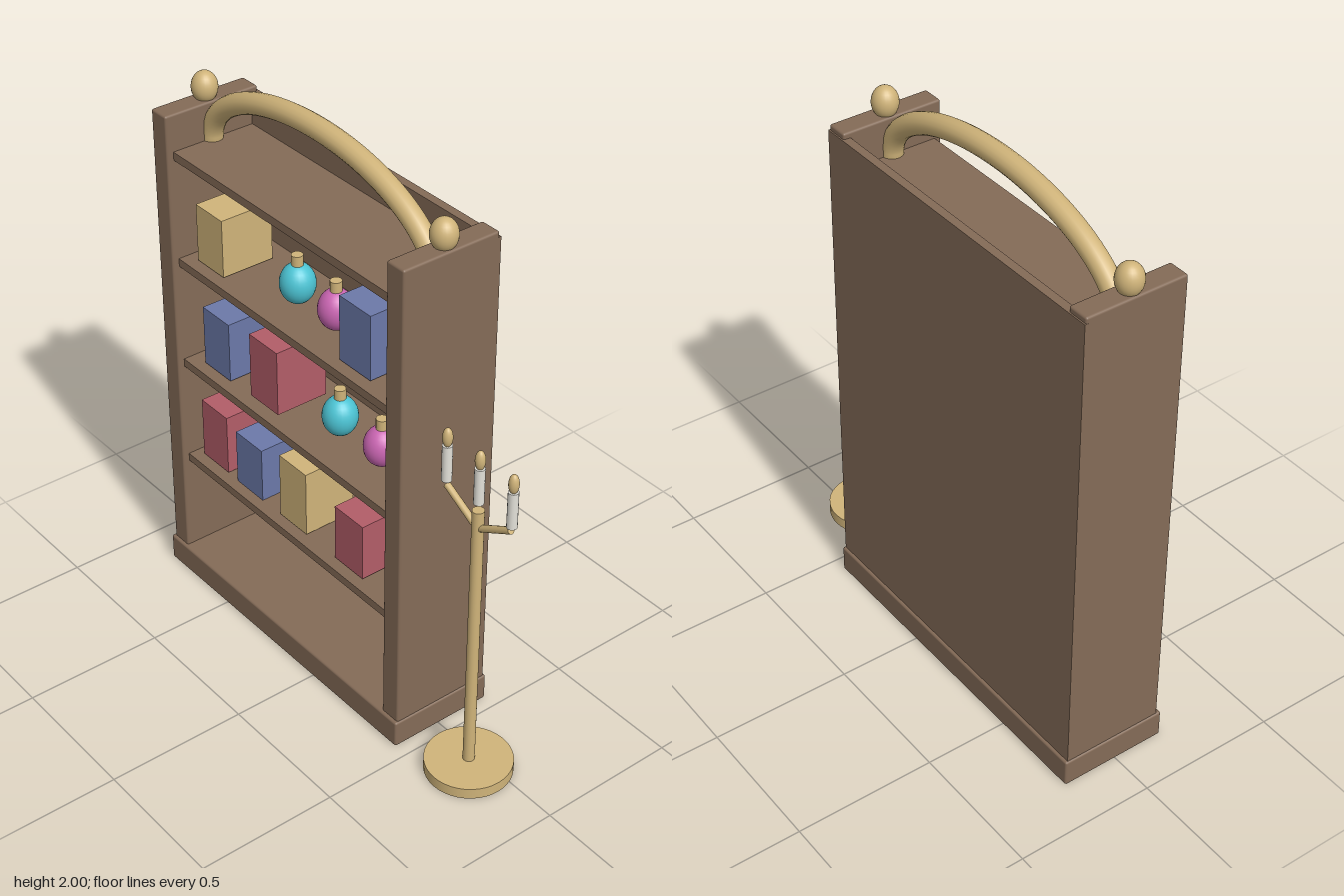
import * as THREE from 'three';
import { RoundedBoxGeometry } from 'three/addons/geometries/RoundedBoxGeometry.js';

const material = (name, color) => {
  const m = new THREE.MeshStandardMaterial({ color });
  m.name = name;
  return m;
};

export function createModel() {
  const wood = material('wood', 0x846b57);
  const gold = material('gold', 0xd0b47a);
  const red = material('red', 0xb25d68);
  const blue = material('blue', 0x6c79a9);
  const cyan = material('cyan glass', 0x4cc4d4);
  const pink = material('pink glass', 0xcb66b3);
  const wax = material('wax', 0xe4e2da);

  const root = new THREE.Group();
  root.name = 'shelfAndCandelabrum';
  const group = (name) => {
    const g = new THREE.Group();
    g.name = name;
    root.add(g);
    return g;
  };
  const add = (parent, name, geometry, mat, x = 0, y = 0, z = 0) => {
    const mesh = new THREE.Mesh(geometry, mat);
    mesh.name = name;
    mesh.position.set(x, y, z);
    parent.add(mesh);
    return mesh;
  };
  // Box given by its limits on each axis, with an optional softened edge
  const block = (parent, name, mat, [x0, x1], [y0, y1], [z0, z1], bevel = 0) => {
    const size = [x1 - x0, y1 - y0, z1 - z0];
    const geometry = bevel
      ? new RoundedBoxGeometry(...size, 2, bevel)
      : new THREE.BoxGeometry(...size);
    return add(parent, name, geometry, mat, (x0 + x1) / 2, (y0 + y1) / 2, (z0 + z1) / 2);
  };
  const egg = (rx, ry) => new THREE.SphereGeometry(1, 24, 16).scale(rx, ry, rx);

  // Cabinet carcass
  const cabinet = group('cabinet');
  block(cabinet, 'plinth', wood, [-0.838, 0.45], [0, 0.1], [-0.205, 0.187], 0.008);
  block(cabinet, 'rightSide', wood, [-0.832, -0.753], [0.09, 1.83], [-0.19, 0.175], 0.008);
  block(cabinet, 'leftSide', wood, [0.365, 0.444], [0.09, 1.83], [-0.19, 0.175], 0.008);
  block(cabinet, 'backPanel', wood, [-0.832, 0.444], [0.1, 1.81], [-0.195, -0.165]);
  for (const top of [0.497, 0.897, 1.297, 1.697]) {
    block(cabinet, 'shelf', wood, [-0.756, 0.368], [top - 0.03, top], [-0.168, 0.15]);
  }

  // Arched crown and post finials
  const crown = group('crown');
  const archPath = new THREE.CatmullRomCurve3(
    Array.from({ length: 25 }, (_, i) => {
      const a = (Math.PI * i) / 24;
      return new THREE.Vector3(0.565 * Math.cos(a), 0.268 * Math.sin(a), 0);
    })
  );
  add(crown, 'arch', new THREE.TubeGeometry(archPath, 64, 0.037, 16), gold, -0.195, 1.695, -0.009);
  for (const x of [-0.793, 0.403]) {
    add(crown, 'finial', egg(0.045, 0.055), gold, x, 1.867, -0.009);
  }

  // Boxes on the shelves: centre x, bottom, height, width, material
  const goods = group('goods');
  const boxes = [
    [-0.626, 1.303, 0.212, 0.143, gold],
    [0.137, 1.303, 0.234, 0.153, blue],
    [-0.61, 0.903, 0.223, 0.146, blue],
    [-0.345, 0.91, 0.242, 0.15, red],
    [-0.643, 0.501, 0.229, 0.146, red],
    [-0.443, 0.498, 0.207, 0.146, blue],
    [-0.196, 0.501, 0.246, 0.145, gold],
    [0.105, 0.501, 0.212, 0.146, red],
  ];
  for (const [x, y, h, w, mat] of boxes) {
    block(goods, 'box', mat, [x - w / 2, x + w / 2], [y, y + h], [-0.09, 0.11]);
  }

  // Round flasks with gold necks
  const flasks = [
    [-0.279, 1.381, cyan],
    [-0.079, 1.381, pink],
    [-0.061, 0.983, cyan],
    [0.153, 0.983, pink],
  ];
  for (const [x, y, mat] of flasks) {
    add(goods, 'flask', egg(0.061, 0.072), mat, x, y, 0.013);
    add(goods, 'flaskNeck', new THREE.CylinderGeometry(0.02, 0.02, 0.05, 16), gold, x, y + 0.08, 0.013);
  }

  // Standing candelabrum
  const stand = group('candelabrum');
  stand.position.set(0.669, 0, 0.058);
  add(stand, 'foot', new THREE.CylinderGeometry(0.148, 0.148, 0.04, 40), gold, 0, 0.02, 0);
  add(stand, 'pole', new THREE.CylinderGeometry(0.02, 0.02, 1.02, 20), gold, 0, 0.545, 0);
  for (const side of [-1, 1]) {
    const arm = add(stand, 'arm', new THREE.CylinderGeometry(0.012, 0.012, 0.166, 12), gold,
      side * 0.074, 1.027, 0);
    arm.rotation.z = -side * Math.atan2(0.145, 0.08);
  }
  for (const x of [-0.149, 0, 0.149]) {
    add(stand, 'candle', new THREE.CylinderGeometry(0.017, 0.017, 0.13, 16), wax, x, 1.147, 0);
    add(stand, 'flame', egg(0.017, 0.035), gold, x, 1.24, 0);
  }

  return root;
}
